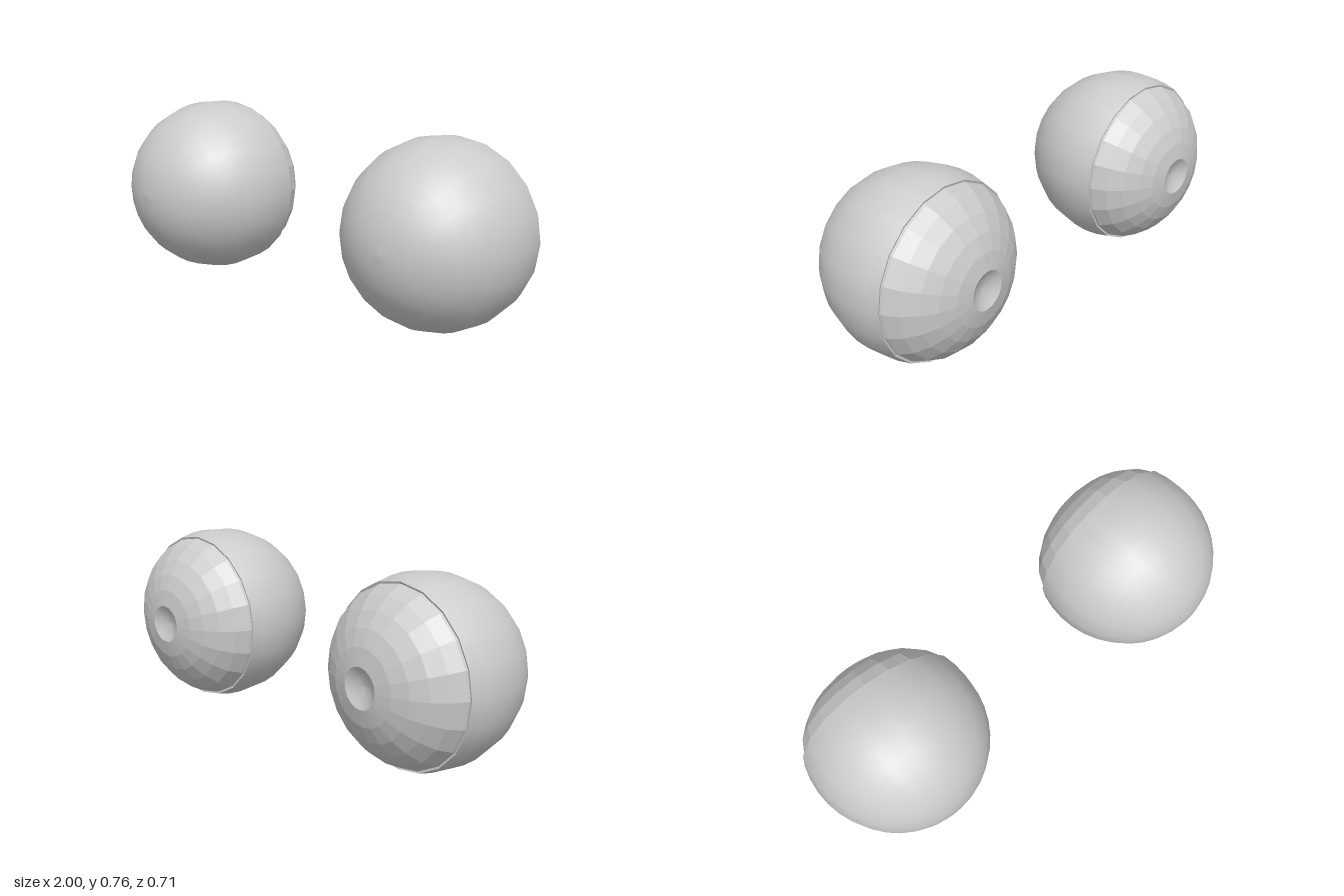
import * as THREE from 'three';

const R = 0.378;      // ball radius
const LENGTH = 0.395; // half length along the viewing axis
const SIDES = 20;

// Lathe about z; profile points are [radius, z], listed from back to front
function turned(name, points, flat) {
  const geometry = new THREE.LatheGeometry(points.map(([r, z]) => new THREE.Vector2(r, z)), SIDES);
  geometry.rotateX(Math.PI / 2);
  const material = new THREE.MeshStandardMaterial({
    color: 0xcccccc, flatShading: flat, side: THREE.DoubleSide,
  });
  const mesh = new THREE.Mesh(geometry, material);
  mesh.name = name;
  return mesh;
}

function createEye(side) {
  const eye = new THREE.Group();
  eye.name = side > 0 ? 'leftEye' : 'rightEye';

  // Smooth ball, open behind the equator
  const shell = [];
  for (let i = -2; i <= 10; i++) {
    const a = (i * Math.PI) / 20;
    shell.push([Math.max(R * Math.cos(a), 0), LENGTH * Math.sin(a)]);
  }
  eye.add(turned('eyeball', shell, false));

  // Thin lip where the ball meets the faceted cap
  eye.add(turned('rim', [[0.348, -0.118], [0.3595, -0.122]], true));

  // Faceted cap with a round opening
  eye.add(turned('iris', [
    [0.08, -0.316], [0.15, -0.302], [0.214, -0.275], [0.272, -0.235],
    [0.32, -0.185], [0.349, -0.13], [0.353, -0.11],
  ], true));

  // Shallow smooth dish in the opening
  eye.add(turned('pupil', [
    [0, -0.288], [0.03, -0.292], [0.058, -0.303], [0.08, -0.316],
  ], false));

  // The two eyes turn slightly towards each other at the back
  eye.rotation.set(-0.01, side * 0.049, 0);
  eye.position.set(side * 0.622, R, -0.04);
  return eye;
}

export function createModel() {
  const model = new THREE.Group();
  model.name = 'eyes';
  for (const side of [1, -1]) model.add(createEye(side));
  return model;
}
